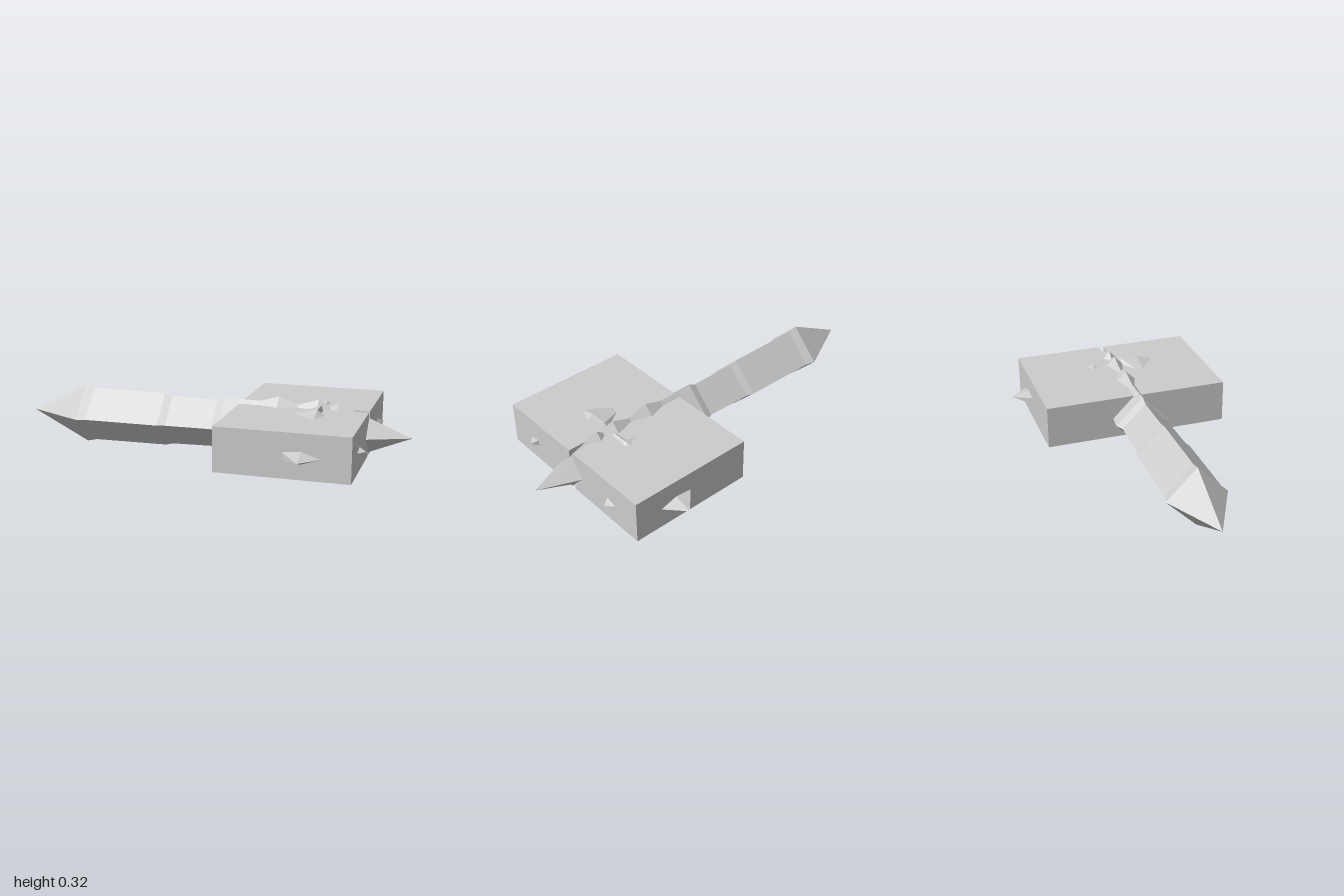
import * as THREE from 'three';

const CY = 0.165; // height of the centre line

// Joins cross-sections into a faceted solid. Each section is [position, points],
// with the points counter-clockwise about the axis; equal points make a tip.
function loft(axis, sections) {
  const pos = [];
  const at = ([p, pts], i) => {
    const [u, v] = pts[i % pts.length];
    return axis === 'x' ? [p, u, v] : [u, v, p];
  };
  for (let s = 0; s < sections.length - 1; s++) {
    const a = sections[s], b = sections[s + 1];
    const tipA = a[2] === 0, tipB = b[2] === 0;
    for (let i = 0; i < a[1].length; i++) {
      if (!tipA) pos.push(...at(a, i), ...at(a, i + 1), ...at(b, i + 1));
      if (!tipB) pos.push(...at(a, i), ...at(b, i + 1), ...at(b, i));
    }
  }
  const g = new THREE.BufferGeometry();
  g.setAttribute('position', new THREE.Float32BufferAttribute(pos, 3));
  g.computeVertexNormals();
  return g;
}

export function createModel() {
  const group = new THREE.Group();
  const grey = new THREE.MeshStandardMaterial({ color: 0xcccccc });
  grey.name = 'lightGrey';
  grey.flatShading = true;

  const add = (name, geometry, x = 0, y = CY, z = 0) => {
    const mesh = new THREE.Mesh(geometry, grey);
    mesh.name = name;
    mesh.position.set(x, y, z);
    group.add(mesh);
  };

  // Diamond-section handle with a point at each end: [x, radius]
  const profile = [
    [-1, 0], [-0.7, 0.152], [-0.65, 0.14], [-0.26, 0.137], [-0.22, 0.127],
    [0.02, 0.122], [0.06, 0.142], [0.14, 0.135], [0.25, 0.135], [0.34, 0.162],
    [0.44, 0.128], [0.54, 0.16], [0.6, 0.125], [0.635, 0.15], [1, 0],
  ];
  add('handle', loft('x', profile.map(([x, r]) =>
    [x, [[r, 0], [0, r], [-r, 0], [0, -r]], r])));

  // Two head blocks with a narrow slot between them
  add('frontHeadBlock', new THREE.BoxGeometry(0.65, 0.22, 0.465), 0.465, 0.17, 0.2435);
  add('backHeadBlock', new THREE.BoxGeometry(0.65, 0.22, 0.465), 0.465, 0.17, -0.2485);

  // Cross spikes running through the blocks: [z, half width, half height]
  const spike = (rows) => loft('z', rows.map(([z, w, h]) =>
    [z, [[w, 0], [0, h], [-w, h * 0.7], [-w, -h * 0.7], [0, -h]], h]));
  add('frontSpike', spike([
    [0, 0.03, 0.13], [0.04, 0.06, 0.138], [0.13, 0.2, 0.14],
    [0.44, 0.125, 0.041], [0.57, 0, 0],
  ]), 0.56);
  add('backSpike', spike([
    [-0.575, 0, 0], [-0.44, 0.125, 0.036], [-0.12, 0.2, 0.125],
    [-0.03, 0.06, 0.121], [0, 0.03, 0.115],
  ]), 0.56);

  // Small triangular studs on the end of each block
  for (const s of [1, -1]) {
    const section = (k) => {
      const pts = [[0, 0.04 * k * s], [-0.016 * k, -0.02 * k * s], [0.016 * k, -0.02 * k * s]];
      return s > 0 ? pts : pts.reverse();
    };
    add(s > 0 ? 'frontStud' : 'backStud',
      loft('x', [[0.755, section(2), 1], [0.825, section(0), 0]]), 0, CY, 0.29 * s);
  }
  return group;
}
